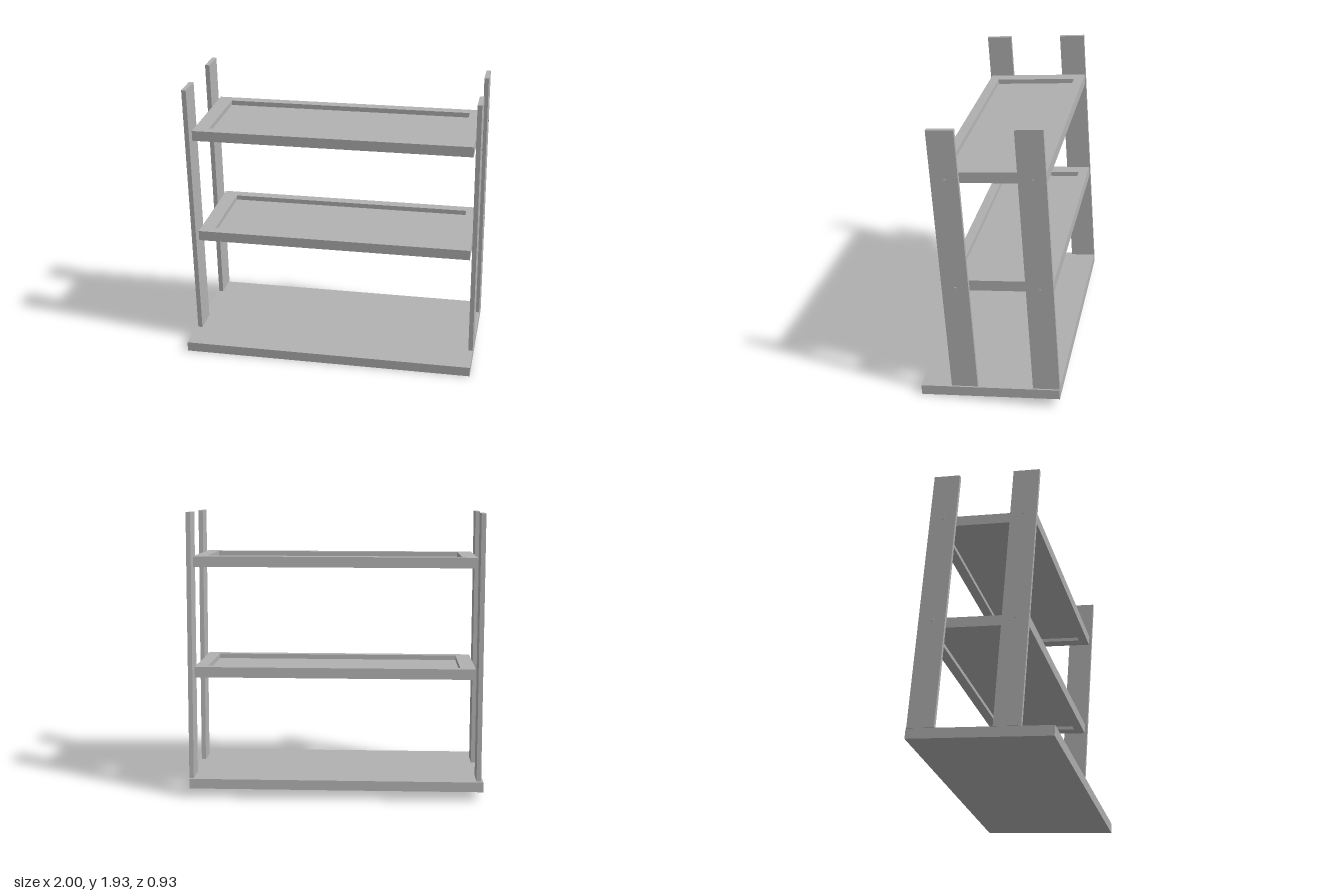
import * as THREE from 'three';

const TILT = 0.07;
const grey = new THREE.MeshStandardMaterial({ color: 0xb2b2b2 });
grey.name = 'grey';

// Box given by its minimum and maximum on each axis
function box(name, [x0, x1], [y0, y1], [z0, z1]) {
  const mesh = new THREE.Mesh(new THREE.BoxGeometry(x1 - x0, y1 - y0, z1 - z0), grey);
  mesh.position.set((x0 + x1) / 2, (y0 + y1) / 2, (z0 + z1) / 2);
  mesh.name = name;
  return mesh;
}

// Adds a rectangle in the x/z plane (shape y is -z) to a shape or path
function rect(path, [x0, x1], [z0, z1]) {
  path.moveTo(x0, -z1);
  path.lineTo(x1, -z1);
  path.lineTo(x1, -z0);
  path.lineTo(x0, -z0);
  path.closePath();
  return path;
}

// Shelf: rectangular frame around a thin recessed panel
function shelf(name, bottom) {
  const group = new THREE.Group();
  group.name = name;
  const innerX = [-0.835, 0.865], innerZ = [-0.398, 0.168];
  const outline = rect(new THREE.Shape(), [-0.936, 0.949], [-0.467, 0.234]);
  outline.holes.push(rect(new THREE.Path(), innerX, innerZ));
  const geometry = new THREE.ExtrudeGeometry(outline, { depth: 0.07, bevelEnabled: false });
  geometry.rotateX(-Math.PI / 2);
  const frame = new THREE.Mesh(geometry, grey);
  frame.name = 'shelfFrame';
  frame.position.y = bottom;
  group.add(frame, box('shelfPanel', innerX, [bottom + 0.026, bottom + 0.037], innerZ));
  return group;
}

export function createModel() {
  const model = new THREE.Group();
  model.name = 'shelfRack';
  const rack = new THREE.Group();
  rack.name = 'tiltedRack';
  rack.rotation.x = TILT;
  model.add(rack);

  rack.add(box('base', [-1, 0.993], [0.032, 0.099], [-0.467, 0.459]));

  const shelfBottoms = [0.8, 1.543];
  rack.add(shelf('lowerShelf', shelfBottoms[0]), shelf('upperShelf', shelfBottoms[1]));

  // Four flat posts, each with a screw head at every shelf
  const sides = [
    { side: 'right', x: [-0.984, -0.953], outer: -0.984 },
    { side: 'left', x: [0.963, 0.993], outer: 0.993 },
  ];
  const rows = [
    { row: 'front', z: [0.074, 0.249] },
    { row: 'back', z: [-0.47, -0.294] },
  ];
  const screwGeometry = new THREE.CylinderGeometry(0.011, 0.011, 0.012, 16).rotateZ(Math.PI / 2);
  for (const { side, x, outer } of sides) {
    for (const { row, z } of rows) {
      rack.add(box(`${row}Post_${side}`, x, [0.107, 1.903], z));
      for (const bottom of shelfBottoms) {
        const screw = new THREE.Mesh(screwGeometry, grey);
        screw.name = `screw_${row}_${side}`;
        screw.position.set(outer, bottom + 0.035, (z[0] + z[1]) / 2);
        rack.add(screw);
      }
    }
  }
  return model;
}
